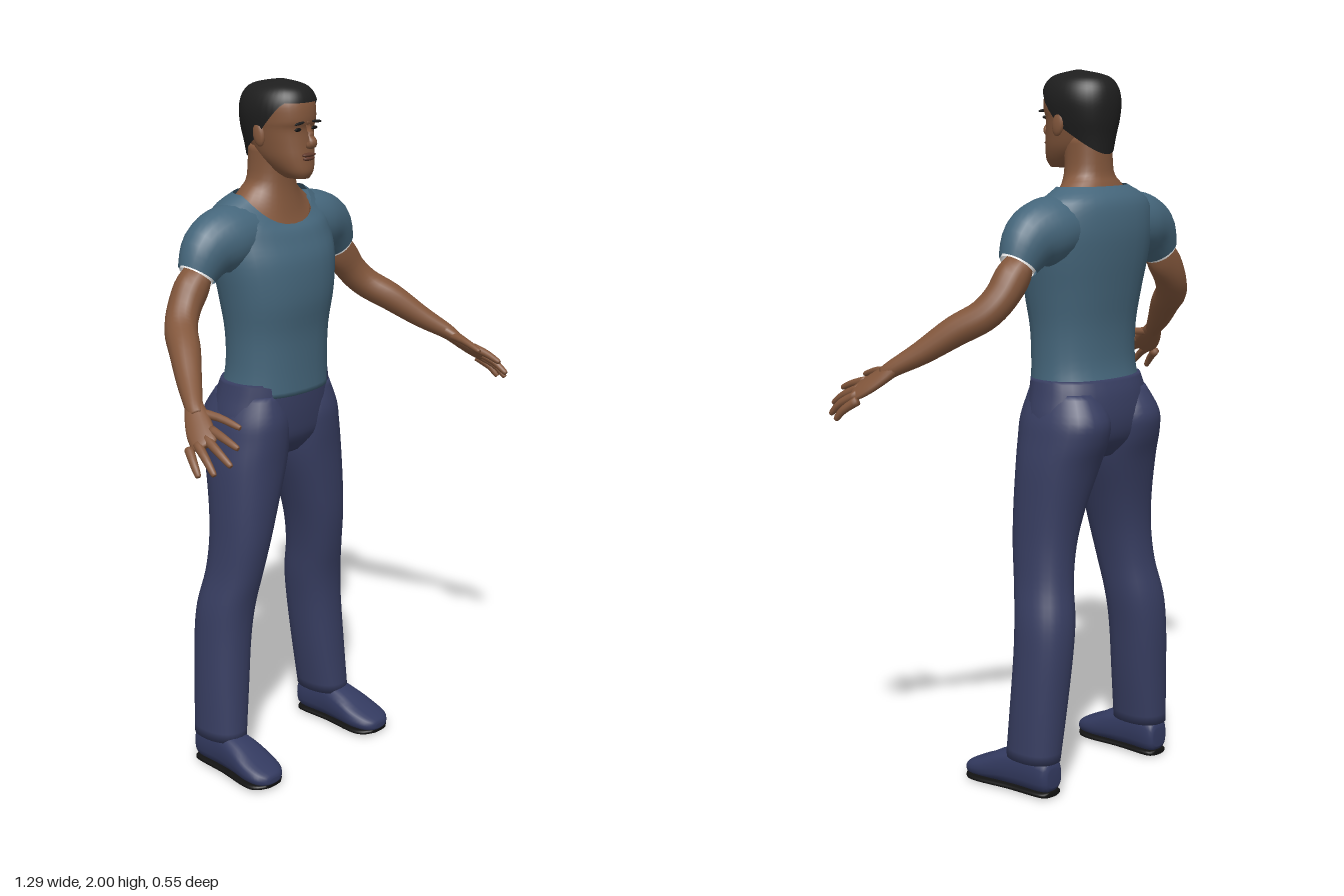
import * as THREE from 'three';

const mat = (name, color, side = THREE.FrontSide) =>
  Object.assign(new THREE.MeshStandardMaterial({ color, side }), { name });

// Catmull-Rom smoothing of every column of a table of rows
function smooth(rows, n = 4) {
  const out = [], last = rows.length - 1;
  const at = (i, c) => rows[Math.min(last, Math.max(0, i))][c] ?? 0;
  const cols = Math.max(...rows.map(r => r.length));
  for (let k = 0; k <= last * n; k++) {
    const i = Math.min(last - 1, Math.floor(k / n)), t = k / n - i;
    out.push(Array.from({ length: cols }, (_, c) => {
      const [a, b, d, e] = [at(i - 1, c), at(i, c), at(i + 1, c), at(i + 2, c)];
      return 0.5 * (2 * b + (d - a) * t + (2 * a - 5 * b + 4 * d - e) * t * t
        + (3 * b - a - 3 * d + e) * t * t * t);
    }));
  }
  return out;
}

// Skin over a list of closed rings; winding is turned outwards automatically
function loft(rings, capStart = true, capEnd = true) {
  const n = rings[0].length, pts = rings.flat(), idx = [];
  for (let i = 0; i < rings.length - 1; i++)
    for (let j = 0; j < n; j++) {
      const a = i * n + j, b = i * n + (j + 1) % n;
      idx.push(a, b, a + n, b, b + n, a + n);
    }
  const cap = (start, flip) => {
    const mid = new THREE.Vector3();
    for (let j = 0; j < n; j++) mid.addScaledVector(pts[start + j], 1 / n);
    const c = pts.push(mid) - 1;
    for (let j = 0; j < n; j++) {
      const a = start + j, b = start + (j + 1) % n;
      if (flip) idx.push(c, b, a); else idx.push(c, a, b);
    }
  };
  if (capStart) cap(0, true);
  if (capEnd) cap((rings.length - 1) * n, false);
  const centre = new THREE.Vector3(), cross = new THREE.Vector3();
  pts.forEach(p => centre.addScaledVector(p, 1 / pts.length));
  let volume = 0;
  for (let i = 0; i < idx.length; i += 3) {
    const [a, b, c] = [0, 1, 2].map(k => pts[idx[i + k]].clone().sub(centre));
    volume += a.dot(cross.crossVectors(b, c));
  }
  if (volume < 0) idx.reverse();
  const g = new THREE.BufferGeometry().setFromPoints(pts);
  g.setIndex(idx);
  g.computeVertexNormals();
  return g;
}

const power = (v, e) => Math.sign(v) * Math.abs(v) ** e;
const angles = n => Array.from({ length: n }, (_, j) => j / n * Math.PI * 2);

// Upright body: rows of [y, xMin, xMax, zFront, zBack, dip of the front]
const upright = (rows, s = 1, e = 0.88, n = 28) => smooth(rows).map(([y, x0, x1, zf, zb, dip = 0]) =>
  angles(n).map(a => new THREE.Vector3(
    s * ((x0 + x1) / 2 + power(Math.cos(a), e) * (x1 - x0) / 2),
    y - dip * Math.max(0, Math.sin(a)) ** 1.2,
    (zf + zb) / 2 + power(Math.sin(a), e) * (zf - zb) / 2)));
const wide = rows => rows.map(([y, w, ...r]) => [y, -w, w, ...r]);

// Limb along a path: rows of [x, y, z, radius along hint, radius across]
function limb(rows, s = 1, hint = [0, 0, 1], n = 16, steps = 4) {
  const sm = smooth(rows, steps), P = sm.map(r => new THREE.Vector3(s * r[0], r[1], r[2]));
  const h = new THREE.Vector3(s * hint[0], hint[1], hint[2]);
  return P.map((p, i) => {
    const d = P[Math.min(i + 1, P.length - 1)].clone().sub(P[Math.max(i - 1, 0)]).normalize();
    const u = h.clone().addScaledVector(d, -h.dot(d)).normalize();
    const v = new THREE.Vector3().crossVectors(d, u);
    return angles(n).map(a => p.clone().addScaledVector(u, Math.cos(a) * sm[i][3])
      .addScaledVector(v, Math.sin(a) * (sm[i][4] || sm[i][3])));
  });
}

export function createModel() {
  const model = new THREE.Group();
  const skin = mat('skin brown', 0x83573c), shirt = mat('shirt teal blue', 0x45667b, THREE.DoubleSide);
  const denim = mat('trouser navy', 0x383e62), hair = mat('hair black', 0x1e1e1e, THREE.DoubleSide);
  const black = mat('sole black', 0x121212), white = mat('cuff white', 0xffffff, THREE.DoubleSide);
  const lip = mat('lip brown', 0x60392b), shoe = mat('shoe navy', 0x333a60);
  const add = (name, geo, m) => {
    const mesh = new THREE.Mesh(geo, m);
    mesh.name = name;
    model.add(mesh);
    return mesh;
  };
  const blob = (name, m, pos, size) => {
    const b = add(name, new THREE.SphereGeometry(1, 14, 10), m);
    b.position.set(...pos);
    b.scale.set(...size);
    return b;
  };

  // Torso
  add('shirt', loft(upright(wide([
    [1.125, .172, .003, -.247], [1.2, .164, .002, -.227], [1.3, .167, .005, -.226],
    [1.4, .183, .018, -.24], [1.5, .2, .012, -.255], [1.58, .203, -.01, -.26, .02],
    [1.65, .188, -.025, -.248, .06], [1.69, .125, -.04, -.212, .085]])), true, false), shirt);
  add('neck', loft(upright(wide([
    [1.672, .126, -.042, -.213, .08], [1.697, .095, -.055, -.203, .06],
    [1.73, .068, -.067, -.193, .01], [1.82, .064, -.06, -.19]]))), skin);
  add('hips', loft(upright(wide([
    [1.165, .174, -.002, -.24], [1.12, .184, 0, -.255], [1.05, .2, -.004, -.26],
    [.99, .19, -.015, -.245], [.94, .08, -.05, -.2]]))), denim);

  // Head
  add('head', loft(upright(wide([
    [1.735, .028, .004, -.07], [1.755, .046, .014, -.11], [1.79, .064, .012, -.16],
    [1.83, .073, .007, -.185], [1.87, .079, .004, -.195], [1.895, .082, .011, -.2],
    [1.94, .082, .006, -.2], [1.97, .066, -.015, -.18], [1.985, .04, -.05, -.14]]), 1, .9)), skin);
  add('nose', loft(limb([[0, 1.89, .005, .009], [0, 1.86, .016, .01], [0, 1.838, .024, .015, .012],
    [0, 1.826, .017, .017, .01], [0, 1.822, .008, .008]], 1, [1, 0, 0], 12)), skin);
  blob('upperLip', lip, [0, 1.801, .011], [.027, .006, .009]);
  blob('lowerLip', lip, [0, 1.791, .011], [.023, .006, .009]);

  // Hair cap, its rim falling from the forehead to the nape
  const shape = smooth(wide([[1.76, .062, -.01, -.198], [1.82, .078, .008, -.205], [1.87, .09, .012, -.214],
    [1.92, .095, .014, -.216], [1.96, .084, .005, -.205], [1.985, .058, -.022, -.175],
    [2, .004, -.085, -.095]]), 8);
  const rim = f => f > 0 ? 1.85 + .093 * Math.min(1, f * 1.5) : 1.85 + .075 * f;
  add('hair', loft(Array.from({ length: 25 }, (_, k) => angles(40).map(a => {
    const y0 = rim(Math.sin(a)), y = y0 + (2 - y0) * Math.sin(k / 24 * Math.PI / 2);
    const i = Math.max(1, shape.findIndex(r => r[0] >= y - 1e-6));
    const [p, q] = [shape[i - 1], shape[i]], t = (y - p[0]) / (q[0] - p[0]);
    const [, , w, zf, zb] = p.map((v, c) => v + (q[c] - v) * t);
    return new THREE.Vector3(w * power(Math.cos(a), .92), y,
      (zf + zb) / 2 + power(Math.sin(a), .92) * (zf - zb) / 2);
  })), false, true), hair);

  for (const s of [1, -1]) {
    const side = s > 0 ? 'left' : 'right';
    // Face details
    blob(side + 'Eye', black, [s * .033, 1.871, .001], [.013, .005, .004]);
    blob(side + 'Brow', hair, [s * .035, 1.889, .009], [.02, .004, .004]).rotation.z = s * -.1;
    blob(side + 'Ear', skin, [s * .086, 1.855, -.095], [.01, .033, .02]).rotation.x = -.2;

    // Sleeve, cuff and arm
    add(side + 'Sleeve', loft(limb([[.1, 1.585, -.14, .09, .085], [.18, 1.573, -.14, .09, .092],
      [.245, 1.548, -.14, .072, .083], [.288, 1.493, -.14, .052, .058]], s, [0, 0, 1], 24), true, false), shirt);
    add(side + 'Cuff', loft(limb([[.268, 1.518, -.14, .05, .052], [.292, 1.488, -.14, .049, .05]],
      s, [0, 0, 1], 24), false, false), white);
    add(side + 'Arm', loft(limb([[.25, 1.54, -.14, .045], [.3, 1.472, -.14, .048, .046],
      [.345, 1.41, -.133, .047, .045], [.385, 1.362, -.105, .046, .043], [.43, 1.32, -.045, .043, .041],
      [.485, 1.262, .025, .034, .032], [.53, 1.22, .085, .025, .023], [.545, 1.2, .11, .024, .018]], s)), skin);

    // Hand
    const across = [.055, -.04, -.04];
    add(side + 'Palm', loft(limb([[.522, 1.228, .075, .022, .02], [.547, 1.197, .112, .033, .018],
      [.57, 1.168, .15, .038, .016], [.585, 1.148, .18, .034, .012], [.588, 1.143, .187, .022, .006]],
      s, across)), skin);
    const fingers = {
      Index: [[.553, 1.178, .172], [.557, 1.166, .22], [.556, 1.15, .264]],
      Middle: [[.574, 1.161, .172], [.585, 1.138, .226], [.586, 1.112, .268]],
      Ring: [[.594, 1.146, .162], [.612, 1.12, .21], [.618, 1.09, .242]],
      Little: [[.609, 1.133, .146], [.628, 1.106, .182], [.635, 1.081, .203]],
      Thumb: [[.535, 1.208, .095], [.519, 1.202, .165], [.509, 1.186, .224]],
    };
    for (const [name, p] of Object.entries(fingers)) {
      const rows = p.map((q, i) => [...q, [.013, .011, .008][i]]);
      const tip = p[2].map((v, i) => v + (v - p[1][i]) * .12);
      add(side + name + 'Finger', loft(limb([...rows, [...tip, .003]], s, across, 10, 3)), skin);
    }

    // Trouser leg
    add(side + 'TrouserLeg', loft(upright([
      [1.13, .03, .17, -.02, -.235], [1.06, .005, .2, -.002, -.275], [1, .001, .213, -.002, -.27],
      [.92, .01, .226, -.008, -.242], [.8, .05, .232, -.013, -.215], [.7, .08, .236, -.02, -.205],
      [.6, .1, .245, -.036, -.21], [.5, .111, .265, -.056, -.228], [.4, .125, .274, -.062, -.232],
      [.25, .143, .283, -.058, -.225], [.1, .166, .288, -.05, -.218]], s)), denim);

    // Shoe and sole: rows of [z, xMin, xMax, yMin, yMax]
    const along = rows => smooth(rows).map(([z, x0, x1, y0, y1]) => angles(20).map(a => new THREE.Vector3(
      s * ((x0 + x1) / 2 + power(Math.cos(a), .75) * (x1 - x0) / 2),
      (y0 + y1) / 2 + power(Math.sin(a), .75) * (y1 - y0) / 2, z)));
    add(side + 'Shoe', loft(along([
      [-.214, .2, .25, .03, .085], [-.195, .186, .268, .012, .115], [-.11, .183, .277, .01, .125],
      [-.04, .176, .288, .01, .108], [.02, .172, .298, .01, .078], [.065, .182, .294, .011, .058],
      [.088, .202, .274, .014, .045], [.094, .22, .258, .02, .034]])), shoe);
    add(side + 'Sole', loft(along([
      [-.212, .205, .25, .003, .018], [-.19, .186, .268, 0, .02], [-.08, .184, .28, 0, .018],
      [.02, .172, .3, 0, .018], [.065, .18, .296, 0, .02], [.09, .208, .268, .006, .02]])), black);
  }
  return model;
}
